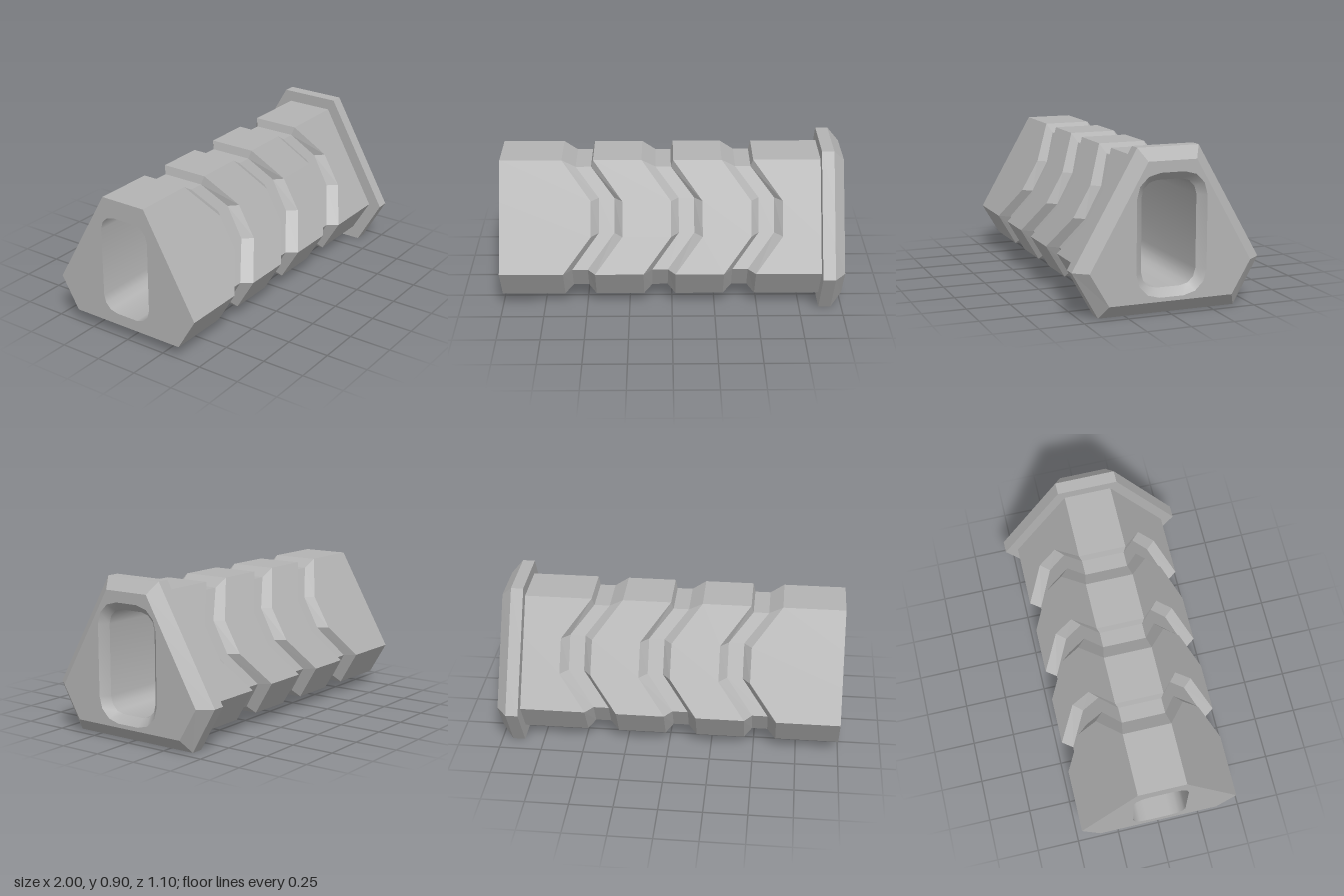
import * as THREE from 'three';
import { toCreasedNormals } from 'three/addons/utils/BufferGeometryUtils.js';

// Half sections [z, y] from the top edge down to the bottom edge
const half = (top, corner, bottom) => {
  const at = (y) => [top[0] + (corner[0] - top[0]) * (top[1] - y) / (top[1] - corner[1]), y];
  return [top, at(0.63), at(0.45), corner, bottom];
};
const BODY = half([0.14, 0.838], [0.47, 0.262], [0.36, 0.075]);
const GROOVE = half([0.126, 0.79], [0.41, 0.262], [0.33, 0.12]);
const FLANGE = half([0.178, 0.905], [0.548, 0.262], [0.4, 0]);

// Mirrors a half section into a closed ring; xs gives the x of each half point
function ring(section, xs) {
  const side = section.map(([z, y], i) => [Array.isArray(xs) ? xs[i] : xs, y, z]);
  return [...side, ...side.map(([x, y, z]) => [x, y, -z]).reverse()];
}

// Rounded slot ring around the opening
function slot(x, r) {
  const pts = [];
  [[-0.07, 0.64, 0], [-0.07, 0.233, 1], [0.07, 0.233, 2], [0.07, 0.64, 3]].forEach(([cx, cy, q]) => {
    for (let i = 0; i <= 3; i++) {
      const a = Math.PI / 2 * (1 + q + i / 3);
      pts.push([x, cy + r * Math.sin(a), -(cx + r * Math.cos(a))]);
    }
  });
  return pts;
}

// Joins successive rings with quads
function loft(rings, crease) {
  const pos = [];
  for (let i = 0; i + 1 < rings.length; i++) {
    const n = rings[i].length;
    for (let j = 0; j < n; j++) {
      const k = (j + 1) % n;
      const a = rings[i][j], b = rings[i][k], c = rings[i + 1][k], d = rings[i + 1][j];
      pos.push(...a, ...b, ...c, ...a, ...c, ...d);
    }
  }
  const geo = new THREE.BufferGeometry();
  geo.setAttribute('position', new THREE.Float32BufferAttribute(pos, 3));
  geo.computeVertexNormals();
  return crease ? toCreasedNormals(geo, crease) : geo;
}

// Flat end face with the slot cut out
function endCap(x, radius) {
  const flat = (pts) => pts.map((p) => new THREE.Vector2(-p[2], p[1]));
  const shape = new THREE.Shape(flat(ring(BODY, 0)));
  shape.holes.push(new THREE.Path(flat(slot(0, radius))));
  return new THREE.ShapeGeometry(shape).rotateY(Math.sign(x) * Math.PI / 2).translate(x, 0, 0);
}

export function createModel() {
  const group = new THREE.Group();
  const grey = new THREE.MeshStandardMaterial({ color: 0xb3b3b3 });
  grey.name = 'grey';
  const add = (name, geo) => {
    const mesh = new THREE.Mesh(geo, grey);
    mesh.name = name;
    group.add(mesh);
  };

  // Body with three chevron grooves
  const rings = [ring(BODY, -1)];
  for (let g = 0; g < 3; g++) {
    const shift = (xs) => xs.map((x) => x + g * 0.465);
    rings.push(
      ring(BODY, shift([-0.64, -0.47, -0.47, -0.63, -0.63])),
      ring(GROOVE, shift([-0.56, -0.425, -0.425, -0.58, -0.58])),
      ring(GROOVE, shift([-0.47, -0.335, -0.335, -0.49, -0.49])),
      ring(BODY, shift([-0.457, -0.287, -0.287, -0.445, -0.445])));
  }
  rings.push(ring(BODY, 0.865));
  add('groovedBody', loft(rings));

  // Flange with bevelled outer rim
  add('endFlange', loft([ring(BODY, 0.865), ring(FLANGE, 0.865), ring(FLANGE, 0.937), ring(BODY, 1)]));

  // End faces and the through slot, chamfered at the flange
  add('flangeFace', endCap(1, 0.135));
  add('rearFace', endCap(-1, 0.09));
  add('slotWall', loft([slot(1, 0.135), slot(0.955, 0.09), slot(-1, 0.09)], 0.6));
  return group;
}
